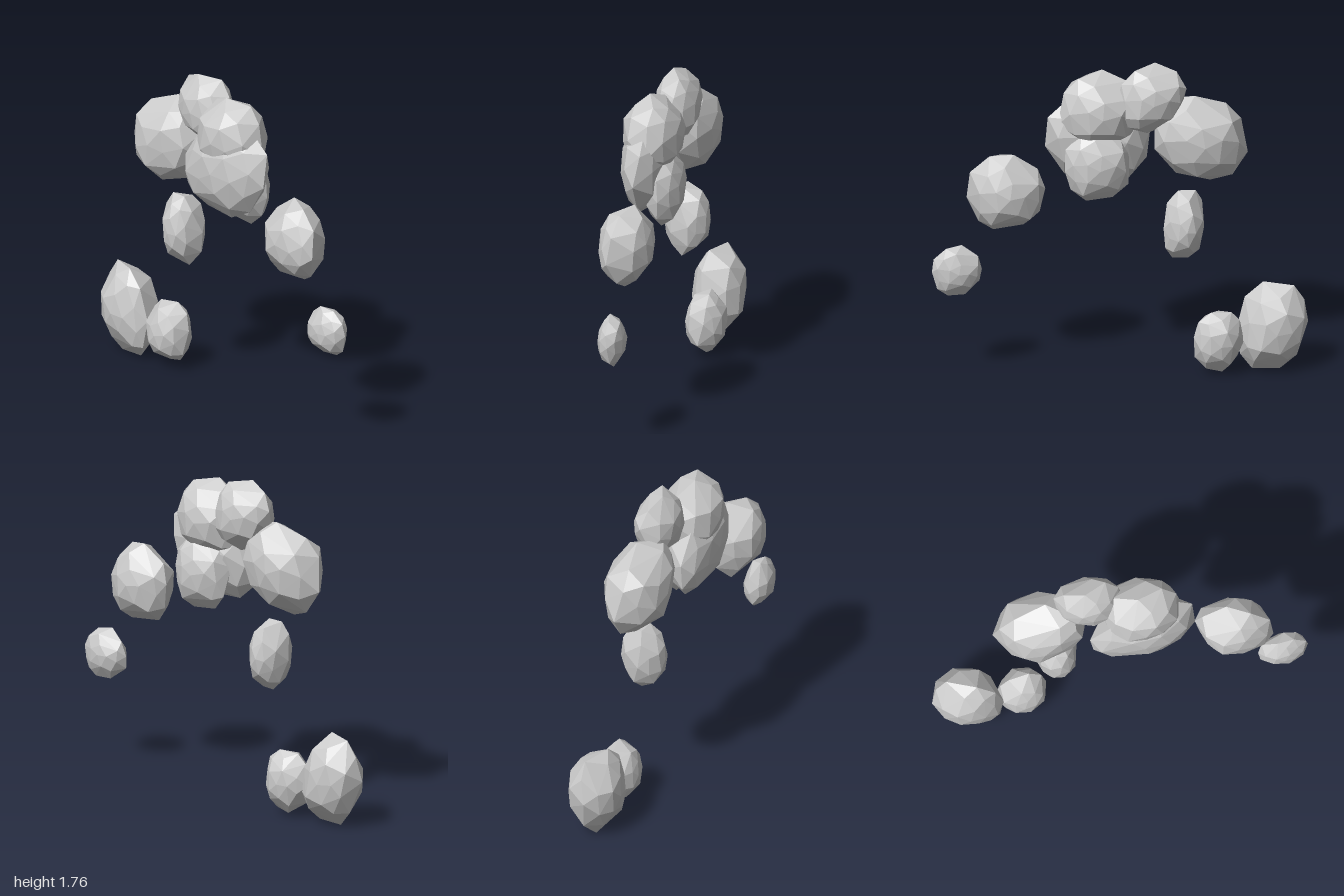
import * as THREE from 'three';
import { ConvexGeometry } from 'three/addons/geometries/ConvexGeometry.js';

// Each rock: extents on x, y and z, sideways lean of its top, z tilt along x
const ROCKS = [
  { name: 'largeSideRock', x: [-.68, -.18], y: [1.08, 1.58], z: [-.18, .16], lean: .17, tilt: .1 },
  { name: 'topRock', x: [-.35, .03], y: [1.38, 1.765], z: [-.14, .1], lean: -.1, tilt: 0 },
  { name: 'upperCentreRock', x: [-.11, .33], y: [1.28, 1.72], z: [-.12, .205], lean: 0, tilt: 0 },
  { name: 'lowerCentreRock', x: [-.18, .39], y: [1.07, 1.58], z: [-.05, .205], lean: .13, tilt: -.1 },
  { name: 'rearCentreRock', x: [-.05, .3], y: [1.01, 1.42], z: [-.13, .08], lean: 0, tilt: 0 },
  { name: 'outerRock', x: [.4, .805], y: [.85, 1.28], z: [-.09, .2], lean: 0, tilt: .15 },
  { name: 'smallOuterRock', x: [.73, 1], y: [.485, .755], z: [-.01, .14], lean: 0, tilt: -.05 },
  { name: 'slimRock', x: [-.45, -.225], y: [.65, 1.03], z: [-.15, .1], lean: -.15, tilt: 0 },
  { name: 'largeLowRock', x: [-1, -.62], y: [0, .49], z: [-.21, .07], lean: -.15, tilt: .2 },
  { name: 'smallLowRock', x: [-.65, -.38], y: [.02, .36], z: [-.19, .03], lean: -.05, tilt: 0 },
];

const RIM_SIDES = 10;

// Repeatable noise from -1 to 1
function seeded(seed) {
  let s = seed * 7919 + 17;
  return () => {
    s = (s * 16807) % 2147483647;
    return (s / 2147483647) * 2 - 1;
  };
}

// Slightly squared, leaning, irregular rim that fills the given x and y extents
function rimOutline({ x, y, lean }, noise) {
  const rim = [];
  const phase = noise() * 0.3;
  const soften = v => Math.sign(v) * Math.abs(v) ** 0.92;
  for (let i = 0; i < RIM_SIDES; i++) {
    const angle = ((i + noise() * 0.18) / RIM_SIDES) * Math.PI * 2 + phase;
    const radius = 1 + noise() * 0.03;
    const up = radius * soften(Math.sin(angle));
    rim.push(new THREE.Vector2(radius * soften(Math.cos(angle)) + lean * up, up));
  }
  const box = new THREE.Box2().setFromPoints(rim);
  return rim.map(p => new THREE.Vector2(
    THREE.MathUtils.mapLinear(p.x, box.min.x, box.max.x, x[0], x[1]),
    THREE.MathUtils.mapLinear(p.y, box.min.y, box.max.y, y[0], y[1])));
}

// Faceted lens: rim, then a middle ring and a cap on both faces
function rockGeometry(rock, seed) {
  const noise = seeded(seed);
  const rim = rimOutline(rock, noise);
  const centre = new THREE.Vector2((rock.x[0] + rock.x[1]) / 2, (rock.y[0] + rock.y[1]) / 2);
  const middle = (rock.z[0] + rock.z[1]) / 2;
  const depth = (rock.z[1] - rock.z[0]) / 2;
  const points = [];
  const add = (p, scale, height) => {
    const q = centre.clone().lerp(p, scale);
    const slope = rock.tilt * (q.x - centre.x) * (1 - Math.abs(height));
    points.push(new THREE.Vector3(q.x, q.y, middle + height * depth + slope));
  };
  rim.forEach(p => add(p, 1, noise() * 0.28));
  for (const side of [-1, 1]) {
    // middle ring, offset half a step from the rim, with gaps for larger facets
    rim.forEach((p, i) => {
      const between = p.clone().lerp(rim[(i + 1) % RIM_SIDES], 0.5);
      if (i % 4 !== 3) add(between, 0.83 + noise() * 0.04, side * (0.58 + noise() * 0.06));
    });
    // cap
    for (let i = side > 0 ? 0 : 1; i < RIM_SIDES; i += 2) {
      add(rim[i], 0.45 + noise() * 0.06, side * (0.9 + noise() * 0.04));
    }
    add(centre, 1, side);
  }
  return new ConvexGeometry(points);
}

export function createModel() {
  const model = new THREE.Group();
  model.name = 'rockCluster';
  const stone = new THREE.MeshStandardMaterial({ color: 0xcccccc, flatShading: true });
  stone.name = 'stoneGrey';
  ROCKS.forEach((rock, i) => {
    const mesh = new THREE.Mesh(rockGeometry(rock, i + 1), stone);
    mesh.name = rock.name;
    model.add(mesh);
  });
  return model;
}
